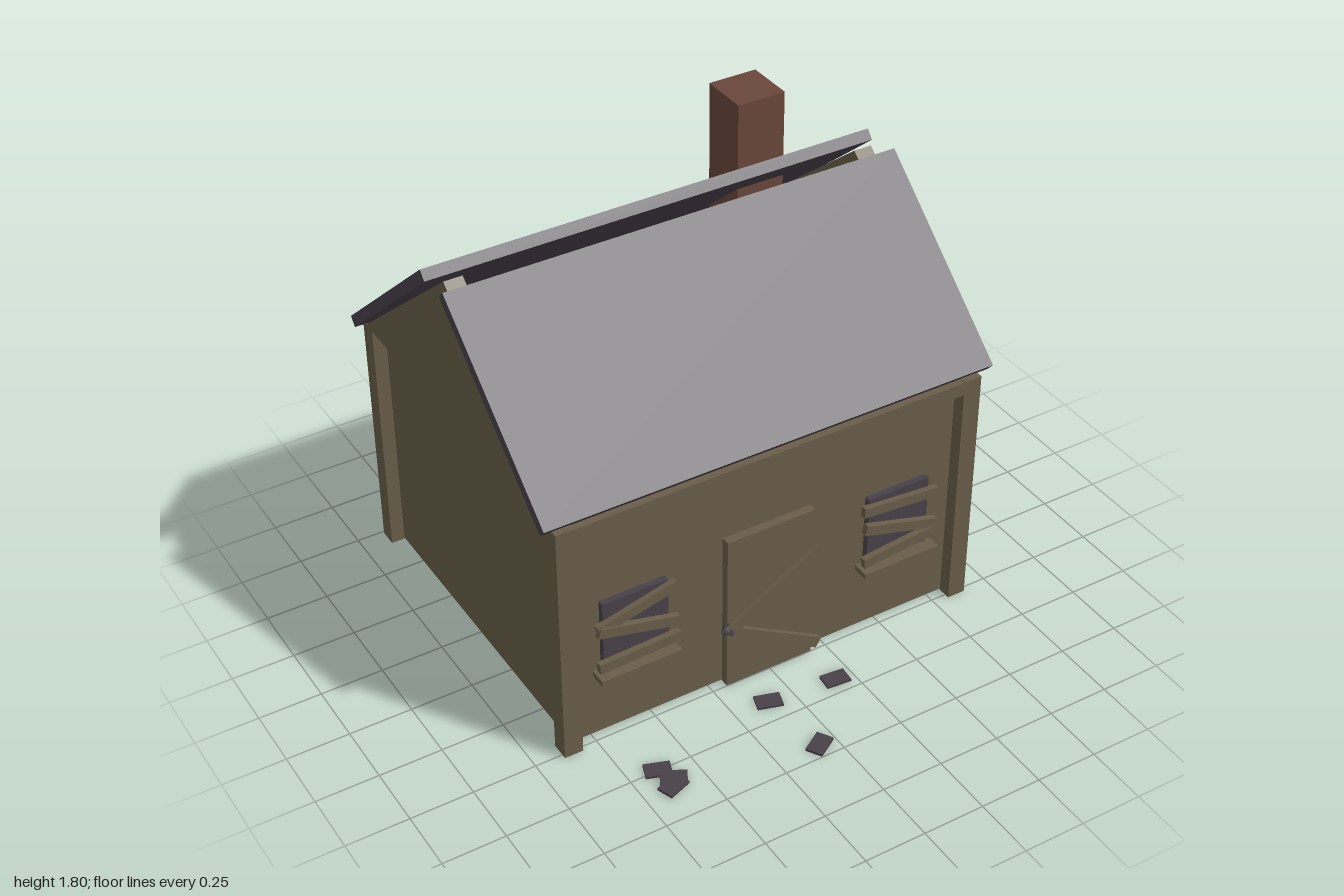
import * as THREE from 'three';

const timber = new THREE.MeshStandardMaterial({ color: 0x685d49 });
timber.name = 'weathered timber';
const slate = new THREE.MeshStandardMaterial({ color: 0x484048 });
slate.name = 'dark slate';
const brick = new THREE.MeshStandardMaterial({ color: 0x69473b });
brick.name = 'red brick';

const MID = -0.235; // z of the ridge line

function box(parent, name, mat, size, pos, rot = [0, 0, 0]) {
  const mesh = new THREE.Mesh(new THREE.BoxGeometry(...size), mat);
  mesh.name = name;
  mesh.position.set(...pos);
  mesh.rotation.set(...rot);
  parent.add(mesh);
  return mesh;
}

// Boarded window: dark pane, sill and three crooked planks [y, tilt in degrees]
function boardedWindow(x, planks) {
  const g = new THREE.Group();
  g.name = 'boardedWindow';
  box(g, 'windowPane', slate, [0.27, 0.305, 0.03], [x, 0.467, 0.475]);
  box(g, 'windowSill', timber, [0.335, 0.022, 0.075], [x, 0.295, 0.497]);
  planks.forEach(([y, tilt], i) =>
    box(g, 'windowPlank', timber, [0.335, 0.042, 0.025], [x, y, 0.5 + i * 0.006],
      [0, 0, THREE.MathUtils.degToRad(tilt)]));
  return g;
}

export function createModel() {
  const house = new THREE.Group();
  house.name = 'abandonedHouse';

  // Floor and ceiling
  box(house, 'floor', timber, [1.67, 0.03, 1.4], [0, 0.021, MID]);
  box(house, 'ceiling', slate, [1.63, 0.02, 1.4], [0, 1.0, MID]);

  for (const s of [-1, 1]) {
    // Recessed walls
    box(house, 'sideWall', timber, [0.04, 1.02, 1.38], [s * 0.815, 0.516, MID]);
    box(house, 'longWall', timber, [1.66, 1.0, 0.04], [0, 0.506, MID + s * 0.68]);
    // Beam along the top of each long wall
    box(house, 'topBeam', timber, [1.63, 0.055, 0.075], [0, 1.0, MID + s * 0.7175]);
    // Corner posts
    for (const t of [-1, 1])
      box(house, 'cornerPost', timber, [0.075, 1.03, 0.075],
        [s * 0.8525, 0.515, MID + t * 0.7175]);

    // Triangular gable, flush with the posts
    const tri = new THREE.Shape();
    tri.moveTo(-0.735, 1.026);
    tri.lineTo(0.735, 1.026);
    tri.lineTo(0, 1.63);
    const geo = new THREE.ExtrudeGeometry(tri, { depth: 0.075, bevelEnabled: false });
    geo.translate(0, 0, -0.0375);
    geo.rotateY(Math.PI / 2);
    const gable = new THREE.Mesh(geo, timber);
    gable.name = 'gable';
    gable.position.set(s * 0.8525, 0, MID);
    house.add(gable);

    // Roof slope, leaving the ridge open
    box(house, 'roofSlope', slate, [1.87, 0.045, 0.89], [0, 1.34, MID + s * 0.409],
      [s * 0.71, 0, 0]);
  }

  // Chimney
  box(house, 'chimney', brick, [0.204, 0.56, 0.204], [0.567, 1.52, -0.593]);

  // Door with two nailed planks and a faceted knob
  const door = new THREE.Group();
  door.name = 'door';
  box(door, 'doorPanel', timber, [0.375, 0.683, 0.05], [-0.003, 0.3435, 0.475]);
  box(door, 'doorPlankUpper', timber, [0.46, 0.046, 0.02], [0.008, 0.387, 0.507], [0, 0, 0.53]);
  box(door, 'doorPlankLower', timber, [0.46, 0.046, 0.02], [0.008, 0.163, 0.509], [0, 0, -0.53]);
  const knob = new THREE.Mesh(new THREE.OctahedronGeometry(0.035), slate);
  knob.name = 'doorKnob';
  knob.position.set(-0.183, 0.275, 0.5);
  door.add(knob);
  house.add(door);

  // Windows either side of the door
  house.add(boardedWindow(-0.568, [[0.558, 14], [0.475, -14], [0.36, 2]]));
  house.add(boardedWindow(0.567, [[0.567, -5], [0.455, -16], [0.365, 6]]));

  // Fallen roof tiles on the ground: x, z, turn
  const tiles = [[-0.105, 0.655, -0.3], [0.175, 0.682, -0.1], [-0.07, 0.943, 0.55],
    [-0.638, 0.75, -0.35], [-0.61, 0.815, -0.5], [-0.632, 0.85, 0.35]];
  tiles.forEach(([x, z, turn], i) =>
    box(house, 'fallenTile', slate, [0.1, 0.01, 0.067], [x, 0.005 + (i > 3 ? 0.002 * (i - 3) : 0), z],
      [0, turn, 0]));

  return house;
}
